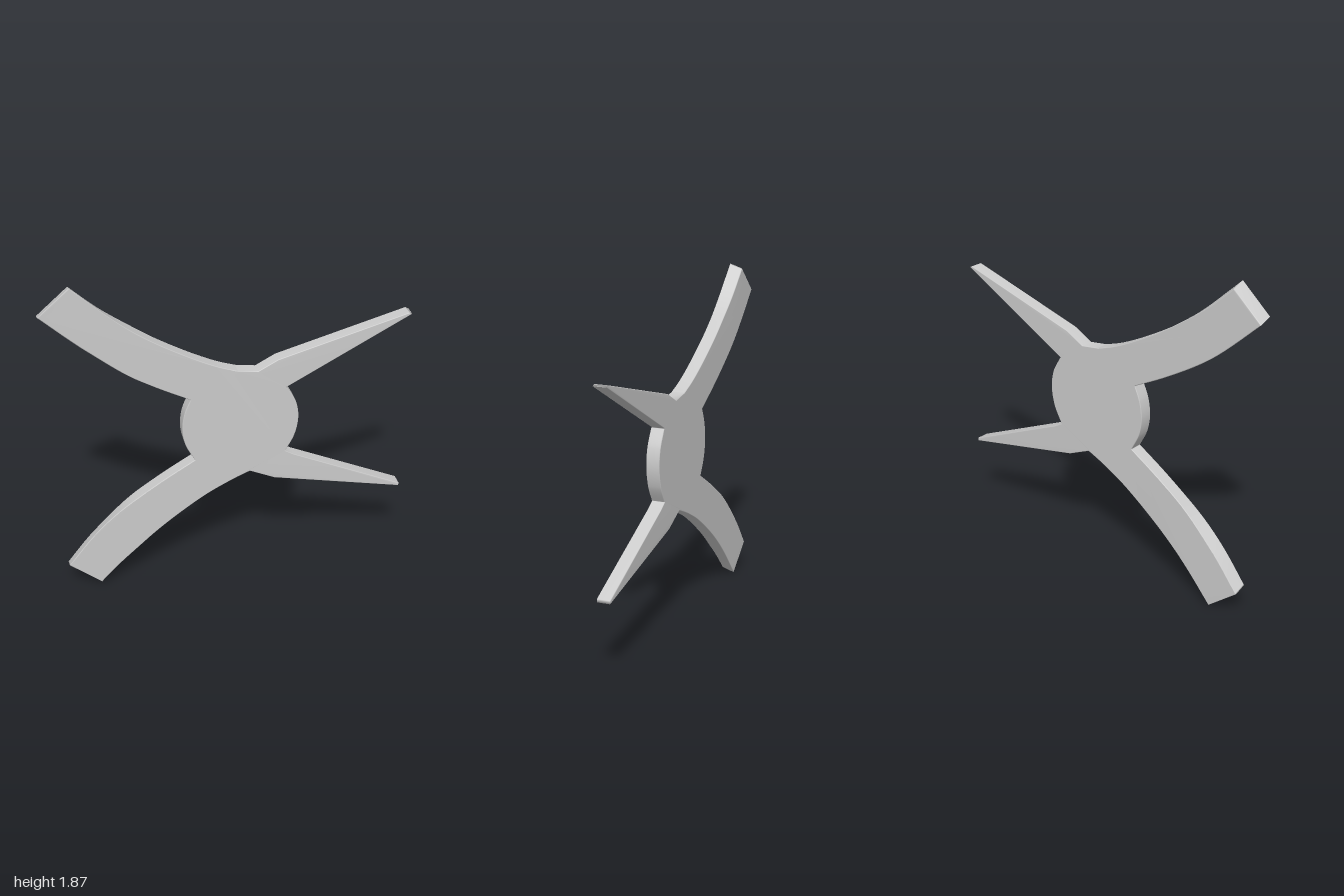
import * as THREE from 'three';
import { mergeVertices } from 'three/addons/utils/BufferGeometryUtils.js';

const DEPTH = 0.076;
const BEVEL = 0.004;

// Continue the outline with a smooth curve through [x, y] points
function curveThrough(shape, points) {
  shape.splineThru(points.map(([x, y]) => new THREE.Vector2(x, y)));
}

function lineThrough(shape, points) {
  points.forEach(([x, y]) => shape.lineTo(x, y));
}

// Counter-clockwise outline of the hub, two curved arms and two spikes
function bodyOutline() {
  const s = new THREE.Shape();
  s.moveTo(-1, 1.717);
  // upper arm, inner edge
  curveThrough(s, [[-0.78, 1.515], [-0.58, 1.36], [-0.4, 1.25], [-0.22, 1.155]]);
  // hub, right side
  curveThrough(s, [[-0.255, 1.07], [-0.268, 0.97], [-0.25, 0.87], [-0.2, 0.772]]);
  // lower arm, inner edge, end and outer edge
  curveThrough(s, [[-0.4, 0.65], [-0.6, 0.508], [-0.78, 0.335], [-0.925, 0.155]]);
  lineThrough(s, [[-0.748, 0.013]]);
  curveThrough(s, [[-0.6, 0.17], [-0.4, 0.35], [-0.17, 0.517], [0, 0.61], [0.11, 0.658]]);
  // lower spike
  lineThrough(s, [[0.25, 0.595], [0.99, 0.438], [0.99, 0.456], [0.36, 0.736], [0.31, 0.765]]);
  // hub, left side
  curveThrough(s, [[0.36, 0.86], [0.381, 0.97], [0.365, 1.075], [0.312, 1.172]]);
  // upper spike
  lineThrough(s, [[0.997, 1.54], [0.98, 1.548], [0.26, 1.345], [0.15, 1.286], [0.04, 1.302]]);
  // upper arm, outer edge and end
  curveThrough(s, [[-0.08, 1.345], [-0.25, 1.43], [-0.45, 1.55], [-0.65, 1.7], [-0.832, 1.865]]);
  s.closePath();
  return s;
}

export function createModel() {
  const group = new THREE.Group();

  let geometry = new THREE.ExtrudeGeometry(bodyOutline(), {
    depth: DEPTH - 2 * BEVEL,
    curveSegments: 16,
    bevelEnabled: true,
    bevelThickness: BEVEL,
    bevelSize: BEVEL,
    bevelOffset: -BEVEL,
    bevelSegments: 2,
  });
  geometry.translate(0, 0, -DEPTH / 2 + BEVEL);

  // Slant the cut ends of the two arms slightly from front to back
  const p = geometry.attributes.position;
  for (let i = 0; i < p.count; i++) {
    const slant = 0.33 * THREE.MathUtils.smoothstep(-p.getX(i), 0.5, 0.75);
    p.setY(i, p.getY(i) + p.getZ(i) * slant);
  }

  // Weld for soft shading over the rims
  geometry.deleteAttribute('normal');
  geometry.deleteAttribute('uv');
  geometry = mergeVertices(geometry, 1e-5);
  geometry.computeVertexNormals();

  const body = new THREE.Mesh(geometry, new THREE.MeshStandardMaterial({ color: 0xcccccc }));
  body.name = 'hubWithArmsAndSpikes';
  group.add(body);
  return group;
}
